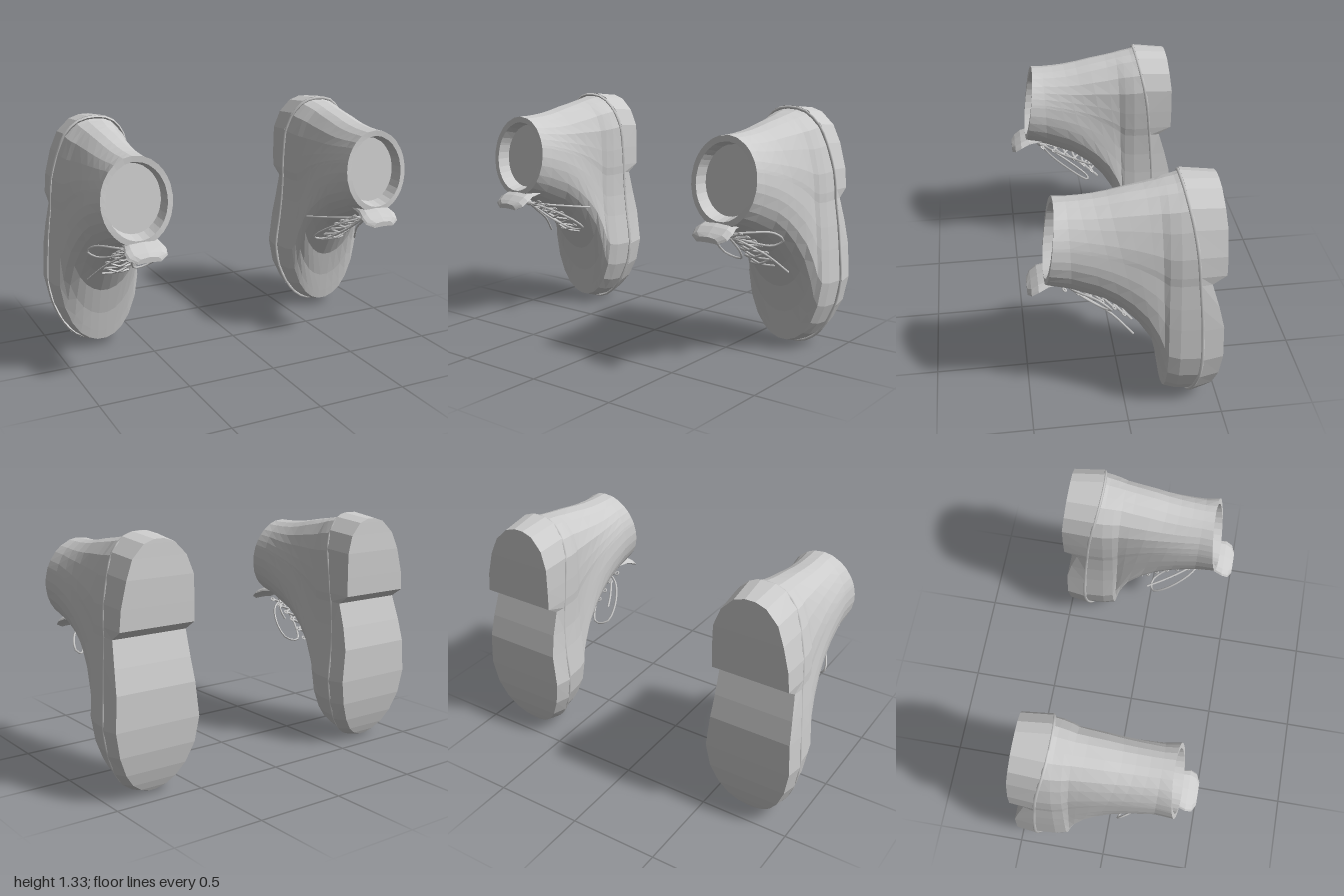
import * as THREE from 'three';

const V = (x, y, z) => new THREE.Vector3(x, y, z);
const mix = THREE.MathUtils.lerp;
const faceted = new THREE.MeshStandardMaterial({ color: 0xcccccc, flatShading: true });
const smooth = new THREE.MeshStandardMaterial({ color: 0xcccccc });

// Skin a list of equal-length rings and close both ends (or only the last) with fans
function loft(rings, capStart = true) {
  const n = rings[0].length, pos = [], idx = [];
  rings.forEach(r => r.forEach(p => pos.push(p.x, p.y, p.z)));
  for (let i = 0; i < rings.length - 1; i++) {
    for (let k = 0; k < n; k++) {
      const a = i * n + k, b = i * n + (k + 1) % n, c = b + n, d = a + n;
      idx.push(a, d, c, a, c, b);
    }
  }
  const cap = (start, flip) => {
    const c = V(0, 0, 0), m = pos.length / 3;
    for (let k = 0; k < n; k++) c.add(V(...pos.slice((start + k) * 3, (start + k) * 3 + 3)));
    c.divideScalar(n);
    pos.push(c.x, c.y, c.z);
    for (let k = 0; k < n; k++) {
      const a = start + k, b = start + (k + 1) % n;
      if (flip) idx.push(m, b, a); else idx.push(m, a, b);
    }
  };
  cap((rings.length - 1) * n, true);
  if (capStart) cap(0, false);
  const g = new THREE.BufferGeometry();
  g.setAttribute('position', new THREE.Float32BufferAttribute(pos, 3));
  g.setIndex(idx);
  g.computeVertexNormals();
  return g;
}

// Sole stations from heel to toe: y, inner x, outer x, welt z, tread z
const rows = [
  [1.33, 0.67, 0.75, -0.28, -0.46], [1.31, 0.61, 0.81, -0.285, -0.462],
  [1.24, 0.545, 0.88, -0.30, -0.468], [1.14, 0.51, 0.92, -0.32, -0.478],
  [1.0, 0.508, 0.955, -0.34, -0.48], [0.89, 0.51, 0.965, -0.35, -0.48],
  [0.84, 0.515, 0.965, -0.355, -0.41], [0.7, 0.515, 0.98, -0.367, -0.45],
  [0.57, 0.507, 0.99, -0.375, -0.48], [0.38, 0.487, 1.0, -0.38, -0.485],
  [0.24, 0.51, 0.975, -0.375, -0.475], [0.13, 0.555, 0.93, -0.36, -0.455],
  [0.06, 0.605, 0.88, -0.35, -0.435], [0.02, 0.655, 0.825, -0.342, -0.42],
  [0, 0.71, 0.77, -0.338, -0.41],
];
const outline = [
  ...rows.map(r => V(r[2], r[0], r[3])),
  ...rows.slice().reverse().map(r => V(r[1], r[0], r[3])),
];

function soleGeometry() {
  return loft(rows.map(([y, xi, xo, zw, zb]) => {
    const yb = y + (0.67 - y) * 0.03;
    return [V(xo, y, zw), V(xo - 0.012, yb, zb), V(xi + 0.012, yb, zb), V(xi, y, zw)];
  }));
}

// Ring spanning a heel-side and a toe-side point, blending sole outline into an oval collar
function upperRing([w, widen, zt, yt, zb, yb]) {
  return outline.map(p => {
    const a = Math.atan2((p.x - 0.735) / 0.25, (p.y - 0.665) / 0.665);
    const x = mix(0.735 + (p.x - 0.735) * widen, 0.715 + 0.19 * widen * Math.sin(a), w);
    const u = mix(p.y / 1.33, 0.5 + 0.5 * Math.cos(a), w);
    return V(x, mix(yb, yt, u), mix(zb, zt, u));
  });
}

function upperGeometry() {
  const base = outline.map(p => V(mix(0.735, p.x, 0.965), mix(0.665, p.y, 0.975), p.z + 0.002));
  // blend, width, then z and y at the heel side, z and y at the toe side
  const specs = [
    [0, 0.945, -0.25, 1.305, -0.27, 0.025],
    [0.02, 0.9, -0.2, 1.297, -0.208, 0.045],
    [0.1, 0.86, -0.16, 1.29, -0.2, 0.1],
    [0.25, 0.88, -0.1, 1.28, -0.185, 0.21],
    [0.45, 0.9, 0, 1.265, -0.15, 0.36],
    [0.65, 0.92, 0.08, 1.25, -0.08, 0.48],
    [0.8, 0.94, 0.15, 1.24, 0, 0.575],
    [0.9, 0.95, 0.22, 1.234, 0.1, 0.655],
    [1, 0.96, 0.28, 1.232, 0.27, 0.73],
    [1, 1.02, 0.34, 1.232, 0.4, 0.775],
    // collar rim and recessed lining
    [1, 0.87, 0.34, 1.2, 0.4, 0.805],
    [1, 0.83, 0.27, 1.18, 0.32, 0.82],
  ];
  return loft([base, ...specs.map(upperRing)], false);
}

function tongueGeometry() {
  // y, z, half width
  const path = [[0.8, 0.27, 0.09], [0.785, 0.38, 0.1], [0.765, 0.43, 0.113], [0.74, 0.465, 0.105], [0.722, 0.485, 0.065]];
  return loft(path.map(([y, z, h]) => Array.from({ length: 12 }, (_, k) => {
    const a = k / 12 * Math.PI * 2, s = Math.sin(a), c = Math.cos(a);
    return V(0.7 + h * Math.sign(s) * Math.sqrt(Math.abs(s)), y + 0.014 * c - 0.015 * s * s + 0.008, z);
  })));
}

const tube = (pts, r, n = 24, closed = false) =>
  new THREE.TubeGeometry(new THREE.CatmullRomCurve3(pts, closed), n, r, 5, closed);

// Parts of one boot as [name, geometry, material]
function bootParts() {
  const parts = [
    ['sole', soleGeometry(), faceted],
    ['upper', upperGeometry(), faceted],
    ['tongue', tongueGeometry(), faceted],
    ['welt', tube(outline.map(p => V(mix(0.735, p.x, 0.975), mix(0.665, p.y, 0.985), p.z + 0.004)), 0.009, 60, true), smooth],
  ];

  // Crossed lacing with an eyelet at each end
  const throat = new THREE.CatmullRomCurve3([
    V(0.7, 0.735, 0.3), V(0.7, 0.69, 0.2), V(0.7, 0.64, 0.11), V(0.7, 0.565, 0.02), V(0.7, 0.5, -0.045),
  ]);
  const count = 6;
  for (let i = 0; i < count; i++) {
    const a = throat.getPoint(i / count), b = throat.getPoint((i + 1) / count);
    for (const s of [-1, 1]) {
      const from = V(a.x - s * 0.075, a.y, a.z), to = V(b.x + s * 0.075, b.y, b.z);
      const mid = V(0.7, (a.y + b.y) / 2 - 0.012, (a.z + b.z) / 2 + 0.015);
      parts.push(['lace', tube([from, mid, to], 0.007, 6), smooth]);
      const eyelet = new THREE.TorusGeometry(0.011, 0.005, 5, 8);
      eyelet.rotateX(0.9).translate(from.x, from.y, from.z);
      parts.push(['eyelet', eyelet, smooth]);
    }
  }

  // Bow: knot, two loops and two loose ends
  const knot = V(0.7, 0.725, 0.31);
  const knotShape = new THREE.SphereGeometry(0.018, 8, 6);
  knotShape.translate(knot.x, knot.y, knot.z);
  parts.push(
    ['knot', knotShape, smooth],
    ['outerLoop', tube([knot, V(0.79, 0.735, 0.25), V(0.87, 0.725, 0.14), V(0.895, 0.68, 0.08), V(0.85, 0.65, 0.1), V(0.78, 0.675, 0.2), knot], 0.006), smooth],
    ['innerLoop', tube([knot, V(0.6, 0.69, 0.25), V(0.52, 0.61, 0.12), V(0.52, 0.55, 0.04), V(0.6, 0.53, 0.03), V(0.67, 0.6, 0.14), knot], 0.006), smooth],
    ['innerLaceEnd', tube([knot, V(0.63, 0.71, 0.24), V(0.54, 0.69, 0.11), V(0.485, 0.675, 0.01)], 0.006, 12), smooth],
    ['outerLaceEnd', tube([knot, V(0.75, 0.66, 0.2), V(0.8, 0.58, 0.07), V(0.86, 0.48, -0.04)], 0.006, 12), smooth],
  );
  return parts;
}

// Reflect a geometry across x = 0, keeping its faces outward
function mirror(g) {
  const m = g.clone().scale(-1, 1, 1), ix = m.index;
  for (let i = 0; i < ix.count; i += 3) {
    const b = ix.getX(i + 1);
    ix.setX(i + 1, ix.getX(i + 2));
    ix.setX(i + 2, b);
  }
  m.computeVertexNormals();
  return m;
}

export function createModel() {
  const model = new THREE.Group();
  model.name = 'pairOfBoots';
  const left = new THREE.Group(), right = new THREE.Group();
  left.name = 'leftBoot';
  right.name = 'rightBoot';
  for (const [name, geometry, material] of bootParts()) {
    for (const [boot, g] of [[left, geometry], [right, mirror(geometry)]]) {
      const mesh = new THREE.Mesh(g, material);
      mesh.name = name;
      boot.add(mesh);
    }
  }
  model.add(left, right);
  return model;
}
